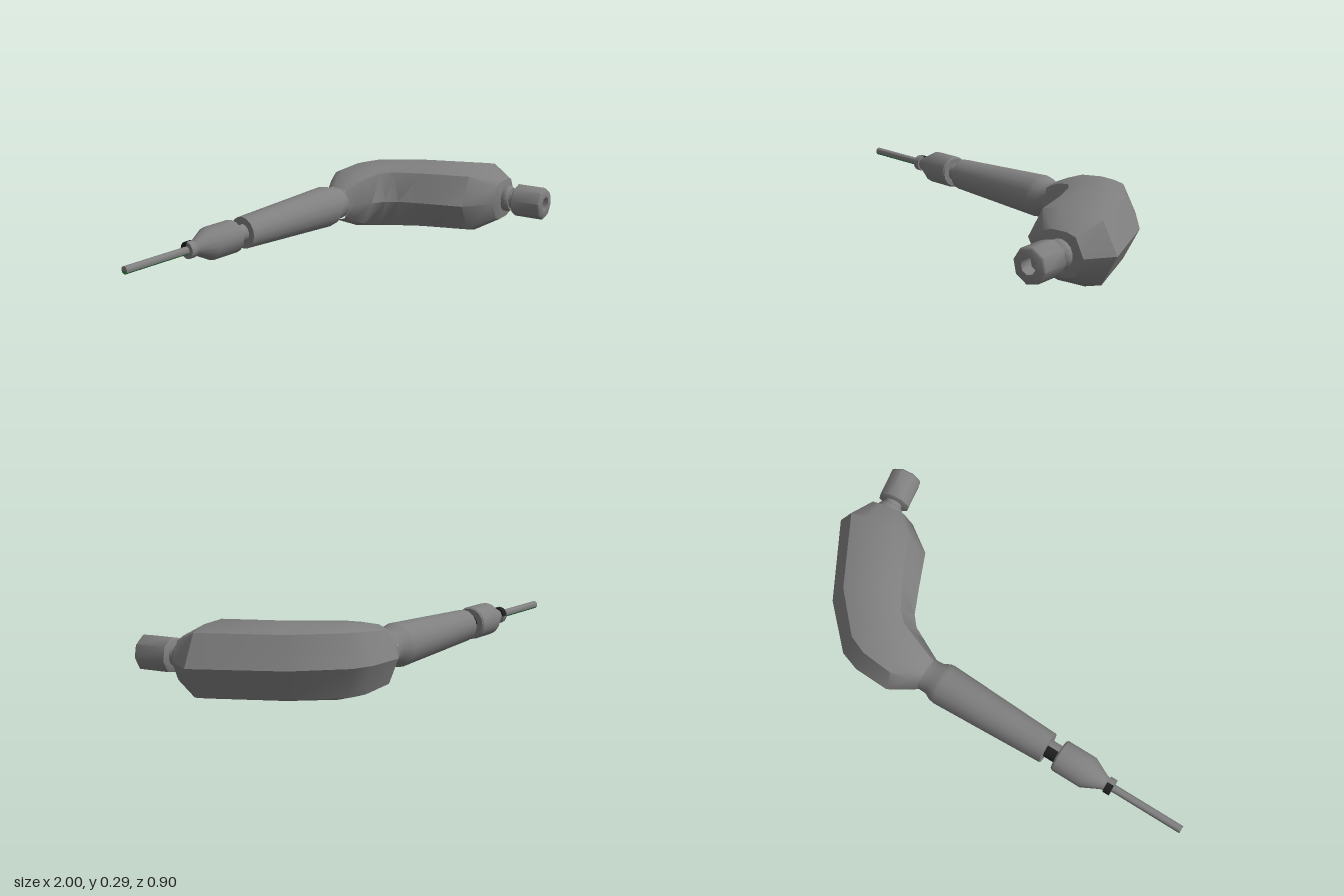
import * as THREE from 'three';
import { toCreasedNormals } from 'three/addons/utils/BufferGeometryUtils.js';

const paint = (name, color) => {
  const m = new THREE.MeshStandardMaterial({ color });
  m.name = name;
  return m;
};

export function createModel() {
  const grey = paint('grey casing', 0x808080);
  const dark = paint('dark gap', 0x202020);
  const green = paint('green tip', 0x2a8a40);

  const model = new THREE.Group();
  model.name = 'angledHandpiece';

  // Turned part: profile is [position along axis, radius]
  const turned = (parent, name, material, profile, sides = 16, start = 0, sweep = Math.PI * 2, crease = 0.6) => {
    const points = profile.map(([t, r]) => new THREE.Vector2(r, t));
    const geometry = toCreasedNormals(new THREE.LatheGeometry(points, sides, start, sweep), crease);
    const mesh = new THREE.Mesh(geometry, material);
    mesh.name = name;
    parent.add(mesh);
    return mesh;
  };

  // Straight shaft, running along x
  const shaft = new THREE.Group();
  shaft.name = 'shaft';
  shaft.rotation.z = -Math.PI / 2;
  shaft.position.set(0, 0.15, -0.305);
  model.add(shaft);

  // Needle rod with a green underside
  const rod = [[-1, 0], [-1, 0.017], [-0.65, 0.017]];
  const low = Math.PI / 6, wide = Math.PI * 2 / 3;
  turned(shaft, 'rodUnderside', green, rod, 6, low, wide);
  turned(shaft, 'rod', grey, rod, 12, low + wide, Math.PI * 2 - wide);

  // Collar and neck, each with a dark upper rear quarter
  const quartered = (name, profile) => {
    turned(shaft, name + 'Dark', dark, profile, 4, Math.PI, Math.PI / 2);
    turned(shaft, name, grey, profile, 12, Math.PI * 1.5, Math.PI * 1.5);
  };
  quartered('collar', [[-0.672, 0], [-0.672, 0.037], [-0.642, 0.037], [-0.642, 0.02]]);
  quartered('neck', [[-0.42, 0.04], [-0.34, 0.04]]);

  turned(shaft, 'chuck', grey, [[-0.645, 0], [-0.645, 0.028], [-0.625, 0.034], [-0.55, 0.072],
    [-0.415, 0.072], [-0.407, 0.066], [-0.407, 0]]);
  turned(shaft, 'grip', grey, [[-0.352, 0], [-0.352, 0.07], [0.17, 0.093], [0.19, 0.09],
    [0.22, 0.075], [0.26, 0.073]]);

  // Bent body: each ring is back x, z, front x, z and half height
  const rings = [
    [0.255, -0.378, 0.255, -0.232, 0.073],
    [0.30, -0.412, 0.29, -0.215, 0.095],
    [0.37, -0.455, 0.36, -0.18, 0.125],
    [0.53, -0.45, 0.42, -0.15, 0.143],
    [0.62, -0.42, 0.46, -0.105, 0.147],
    [0.80, -0.245, 0.51, 0.0, 0.147],
    [0.995, 0.095, 0.585, 0.165, 0.147],
    [0.935, 0.215, 0.71, 0.25, 0.09],
  ];
  const section = [[1, 0], [0.67, 0.86], [0.3, 1], [-0.3, 1], [-0.67, 0.86],
    [-1, 0], [-0.67, -0.86], [-0.3, -1], [0.3, -1], [0.67, -0.86]];
  const n = section.length;
  const positions = [], faces = [];
  for (const [bx, bz, fx, fz, h] of rings) {
    for (const [u, v] of section) {
      positions.push((bx + fx) / 2 + u * (bx - fx) / 2, 0.148 + v * h, (bz + fz) / 2 + u * (bz - fz) / 2);
    }
  }
  const last = rings.length - 1;
  positions.push(0.828, 0.148, 0.25);
  for (let k = 0; k < n; k++) {
    const next = (k + 1) % n;
    for (let i = 0; i < last; i++) {
      const a = i * n + k, b = i * n + next;
      faces.push(a, b, a + n, b, b + n, a + n);
    }
    faces.push(rings.length * n, last * n + k, last * n + next);
  }
  const shell = new THREE.BufferGeometry();
  shell.setAttribute('position', new THREE.Float32BufferAttribute(positions, 3));
  shell.setIndex(faces);
  const body = new THREE.Mesh(toCreasedNormals(shell, 0.75), grey);
  body.name = 'body';
  model.add(body);

  // Hose connector, aimed forward and slightly to the side
  const connector = new THREE.Group();
  connector.name = 'connector';
  connector.position.set(0.833, 0.15, 0.236);
  connector.quaternion.setFromUnitVectors(new THREE.Vector3(0, 1, 0), new THREE.Vector3(0.176, 0, 0.985).normalize());
  model.add(connector);
  turned(connector, 'connectorFlange', grey, [[-0.01, 0.055], [0, 0.06], [0.022, 0.06], [0.034, 0.052], [0.034, 0.03]]);
  turned(connector, 'connectorNeck', grey, [[0.02, 0.042], [0.06, 0.042]]);
  // Octagonal socket with a blind bore
  turned(connector, 'connectorSocket', grey, [[0.054, 0], [0.054, 0.064], [0.06, 0.074], [0.192, 0.074],
    [0.2, 0.066], [0.2, 0.034], [0.14, 0.034], [0.14, 0]], 8, 0, Math.PI * 2, 0.85);

  return model;
}
